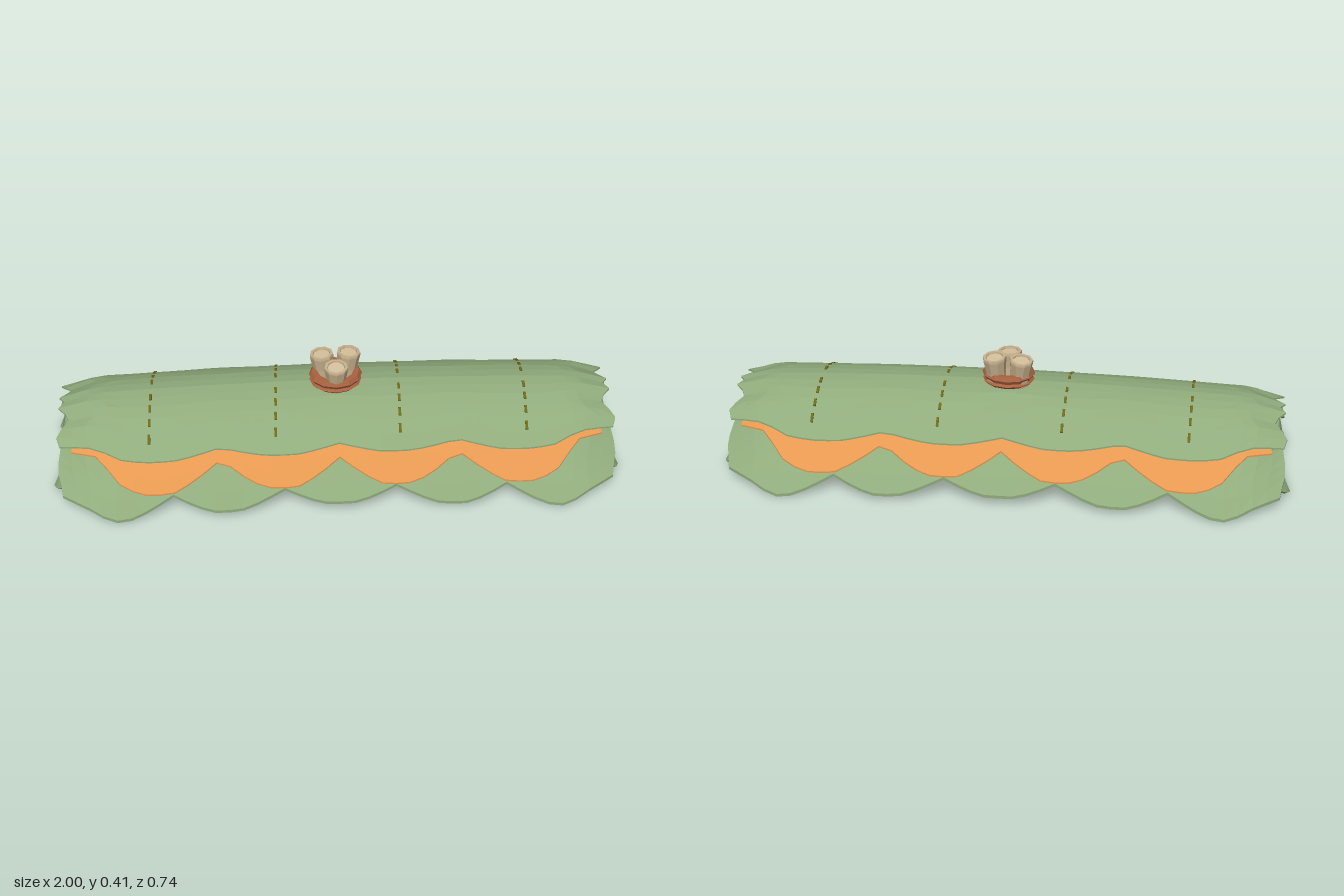
import * as THREE from 'three';

const mat = (name, color) => new THREE.MeshStandardMaterial({ name, color, flatShading: true, side: THREE.DoubleSide });
const V = (x, y, z) => new THREE.Vector3(x, y, z);

// Piecewise linear lookup through [input, output] pairs
function lookup(pairs, v) {
  for (let i = 1; i < pairs.length; i++) {
    const [a, fa] = pairs[i - 1], [b, fb] = pairs[i];
    if (v <= b || i === pairs.length - 1) return fa + (fb - fa) * (v - a) / (b - a);
  }
}

// Arched cross-section of the roof and its sag toward both ends
const ARCH = [[0, 0.302], [0.07, 0.294], [0.14, 0.265], [0.19, 0.234], [0.26, 0.17], [0.33, 0.1], [0.38, 0.04]];
const sag = u => 0.028 * u * u + 0.25 * Math.max(0, Math.abs(u) - 0.88);
const roofY = (u, z) => lookup(ARCH, z) - sag(u);

// Row of angular leaf tips: 1 at a tip, falling to 0 in the valleys
const TIP = [[0, 1], [0.28, 0.96], [0.6, 0.6], [1, 0], [9, 0]];
const scallop = (u, centres, w) => Math.max(...centres.map(c => lookup(TIP, Math.abs(u - c) / w)));
const taper = u => Math.max(0, Math.abs(u) - 0.8) / 0.2;

// Thick shell made from surface triangles and their rim loop
function shell(name, tris, rim, offset, flip, material) {
  const pos = [];
  const tri = (a, b, c) => (flip ? [a, c, b] : [a, b, c]).forEach(p => pos.push(p.x, p.y, p.z));
  const low = p => p.clone().add(offset);
  for (const [a, b, c] of tris) {
    tri(a, b, c);
    tri(low(a), low(c), low(b));
  }
  rim.forEach((a, i) => {
    const b = rim[(i + 1) % rim.length];
    tri(a, low(a), low(b));
    tri(a, low(b), b);
  });
  const g = new THREE.BufferGeometry();
  g.setAttribute('position', new THREE.Float32BufferAttribute(pos, 3));
  g.computeVertexNormals();
  const mesh = new THREE.Mesh(g, material);
  mesh.name = name;
  return mesh;
}

// One side of a leaf layer, from inner edge to scalloped eave
function leafLayer(name, { inner, eave, ends, lift, thick }, side, material) {
  const n = 40, m = 6, p = [], tris = [], rim = [];
  for (let i = 0; i <= n; i++) {
    const u = -1 + 2 * i / n;
    p.push([]);
    for (let j = 0; j <= m; j++) {
      const z = inner(u) + (eave(u) - inner(u)) * j / m;
      p[i].push(V(u * lookup(ends, z), roofY(u, z) + lift(u, z), z * side));
    }
  }
  for (let i = 0; i < n; i++) for (let j = 0; j < m; j++) {
    tris.push([p[i][j], p[i][j + 1], p[i + 1][j + 1]], [p[i][j], p[i + 1][j + 1], p[i + 1][j]]);
  }
  for (let j = 0; j < m; j++) rim.push(p[0][j]);
  for (let i = 0; i < n; i++) rim.push(p[i][m]);
  for (let j = m; j > 0; j--) rim.push(p[n][j]);
  for (let i = n; i > 0; i--) rim.push(p[i][0]);
  return shell(name, tris, rim, V(0, -thick, 0), side < 0, material);
}

// Single leaf closing an end, fanned around its raised centre
function endLeaf(name, outline, centre, sx, sz, material) {
  const place = ([x, y, z]) => V(x * sx, y, z * sz);
  const rim = outline.map(place), c = place(centre);
  const tris = rim.map((a, i) => [c, a, rim[(i + 1) % rim.length]]);
  return shell(name, tris, rim, V(-0.01 * sx, -0.004, 0), sx * sz < 0, material);
}

// Outline symmetric about z = 0, listed from the bottom tip up
const symmetric = half => [...half.map(([x, y, z]) => [x, y, -z]),
  ...half.slice().reverse().filter(q => q[2] > 0)];

export function createModel() {
  const root = new THREE.Group();
  root.name = 'leafRoof';
  const green = mat('leafGreen', 0x90ab7c);
  const orange = mat('dryLeafOrange', 0xe59851);
  const olive = mat('stitchOlive', 0x6c681a);
  const rope = mat('ropeBrown', 0xa8623f);
  const cane = mat('caneTan', 0xc6b08c);
  const pale = mat('caneCutPale', 0xd6c29e);

  const lowTips = [-0.8, -0.4, 0, 0.4, 0.8], midTips = [-0.66, -0.21, 0.21, 0.66];
  const layers = {
    upperLeaves: {
      inner: () => 0, lift: () => 0, thick: 0.006,
      eave: u => 0.225 + 0.026 * scallop(u, midTips, 0.22) - 0.05 * taper(u),
      ends: [[0, 0.95], [0.03, 0.97], [0.08, 0.925], [0.14, 0.975], [0.18, 0.96], [0.26, 0.93]],
    },
    dryLeaves: {
      inner: () => 0.1, lift: () => -0.007, thick: 0.006,
      eave: u => 0.248 + 0.08 * scallop(u, midTips, 0.23) - 0.06 * taper(u),
      ends: [[0.1, 0.92], [0.18, 0.92], [0.25, 0.94], [0.33, 0.95]],
    },
    lowerLeaves: {
      inner: u => 0.2 - Math.max(0.1 * scallop(u, lowTips, 0.21), 0.125 * taper(u)), thick: 0.011,
      lift: (u, z) => -0.022 - 0.045 * taper(u) * Math.min(1, Math.max(0, (0.34 - z) / 0.14)),
      eave: u => 0.315 + (0.042 + 0.018 * Math.abs(u)) * scallop(u, lowTips, 0.22) - 0.045 * taper(u),
      ends: [[0.07, 0.955], [0.2, 0.975], [0.27, 0.955], [0.37, 0.96]],
    },
  };
  for (const side of [1, -1]) for (const [name, spec] of Object.entries(layers)) {
    root.add(leafLayer(name, spec, side, name === 'dryLeaves' ? orange : green));
  }

  // Leaves closing both ends, their upper parts tucked under the roof
  const lowerEnd = [[0.998, 0.006, 0.165], [0.985, 0.01, 0.135], [0.97, 0.055, 0.04], [0.935, 0.115, 0.005],
    [0.78, 0.185, 0.03], [0.78, 0.17, 0.16], [0.94, 0.07, 0.26], [0.985, 0.022, 0.2]];
  const dryEnd = symmetric([[0.975, 0.055, 0], [0.965, 0.06, 0.03], [0.95, 0.11, 0.12], [0.92, 0.18, 0.155], [0.76, 0.24, 0.12]]);
  const upperEnd = symmetric([[0.968, 0.128, 0], [0.965, 0.135, 0.05], [0.955, 0.16, 0.135], [0.935, 0.185, 0.148], [0.75, 0.255, 0.1]]);
  const ridgeEnd = symmetric([[0.968, 0.203, 0], [0.962, 0.225, 0.03], [0.9, 0.25, 0.05]]);
  for (const sx of [1, -1]) {
    for (const sz of [1, -1]) {
      root.add(endLeaf('lowerEndLeaf', lowerEnd, [0.955, 0.09, 0.14], sx, sz, green));
      const dash = new THREE.Mesh(new THREE.BoxGeometry(0.008, 0.028, 0.005), olive);
      dash.name = 'endStitch';
      dash.position.set(sx * 0.951, 0.116, sz * 0.138);
      dash.rotation.set(-0.45 * sz, 0, 0.5 * sx);
      root.add(dash);
    }
    root.add(endLeaf('dryEndLeaf', dryEnd, [0.935, 0.15, 0], sx, 1, orange));
    root.add(endLeaf('upperEndLeaf', upperEnd, [0.95, 0.2, 0], sx, 1, green));
    root.add(endLeaf('ridgeEndLeaf', ridgeEnd, [0.955, 0.23, 0], sx, 1, green));
  }

  // Dashed seams across the upper leaves
  for (const x of [-0.645, -0.21, 0.22, 0.66]) for (const side of [1, -1]) {
    for (let k = 0; k < 4; k++) {
      const z0 = 0.03 + k * 0.05, z1 = z0 + 0.026;
      const y0 = roofY(x, z0), y1 = roofY(x, z1);
      const dash = new THREE.Mesh(new THREE.BoxGeometry(0.009, 0.005, Math.hypot(z1 - z0, y1 - y0)), olive);
      dash.name = 'seamStitch';
      dash.position.set(x - side * z0 * 0.04, (y0 + y1) / 2, side * (z0 + z1) / 2);
      dash.rotation.x = Math.atan2(y0 - y1, z1 - z0) * side;
      root.add(dash);
    }
  }

  // Bundle of three flared canes with a raised lip around each cut end
  for (const [x, z, top] of [[-0.043, -0.025, 0.398], [0.043, -0.023, 0.404], [0, 0.043, 0.392]]) {
    const h = top - 0.288;
    const stem = new THREE.Group();
    stem.name = 'caneStem';
    const profile = [[0.033, 0], [0.035, 0.5 * h], [0.042, 0.93 * h], [0.041, h], [0.031, h], [0.029, h - 0.01]];
    const wall = new THREE.Mesh(new THREE.LatheGeometry(profile.map(q => new THREE.Vector2(...q)), 9), cane);
    wall.name = 'caneWall';
    const cut = new THREE.Mesh(new THREE.CylinderGeometry(0.03, 0.03, 0.004, 9), pale);
    cut.name = 'caneCut';
    cut.position.y = h - 0.008;
    stem.add(wall, cut);
    stem.position.set(x * 0.9, 0.288, z * 0.9);
    stem.rotation.set(z * 1.8, 0, -x * 1.8);
    root.add(stem);
  }

  // Rope wound twice around the bundle, each coil with a sharp outer ridge
  for (const [y, r, half] of [[0.307, 0.079, 0.009], [0.33, 0.081, 0.014]]) {
    const profile = [[0.055, -half], [r - 0.008, -half], [r, 0], [r - 0.008, half], [0.055, half]];
    const coil = new THREE.Mesh(new THREE.LatheGeometry(profile.map(q => new THREE.Vector2(...q)), 12), rope);
    coil.name = 'ropeCoil';
    coil.rotation.x = 0.03;
    coil.scale.x = 1.15;
    coil.position.set(0, y, 0.002);
    root.add(coil);
  }
  return root;
}
